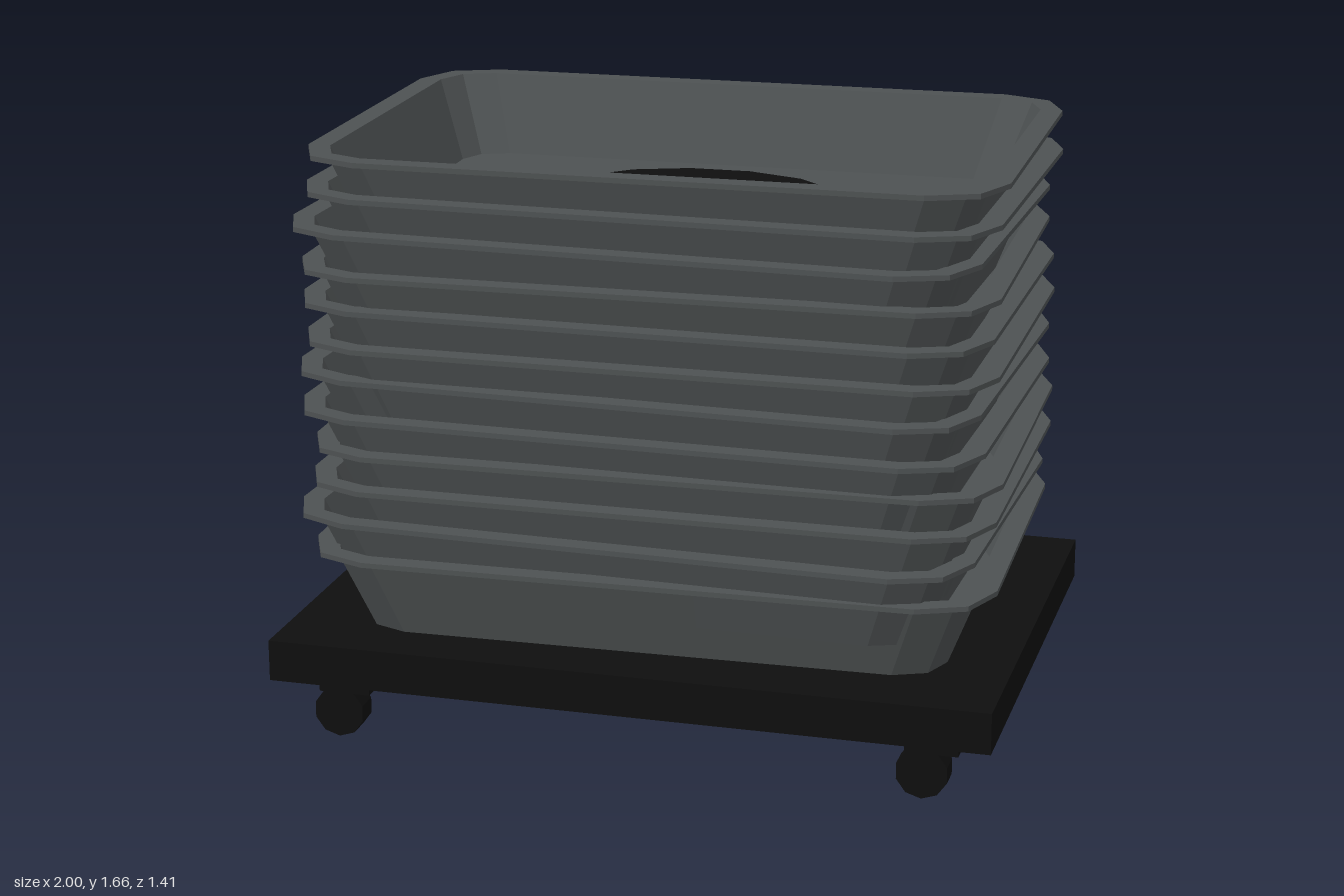
import * as THREE from 'three';

const trayGrey = new THREE.MeshStandardMaterial({ name: 'trayGrey', color: 0x4d5152, flatShading: true });
const dollyBlack = new THREE.MeshStandardMaterial({ name: 'dollyBlack', color: 0x0e0e0e, flatShading: true });
const buckleSilver = new THREE.MeshStandardMaterial({ name: 'buckleSilver', color: 0xc0c0c4, flatShading: true });

// Skin a series of closed rings (arrays of [x, y, z]) with flat faces
function loft(rings) {
  const pos = [];
  const n = rings[0].length;
  for (let r = 0; r < rings.length - 1; r++) {
    for (let i = 0; i < n; i++) {
      const j = (i + 1) % n;
      const a = rings[r][i], b = rings[r][j], c = rings[r + 1][i], d = rings[r + 1][j];
      pos.push(...a, ...c, ...d, ...a, ...d, ...b);
    }
  }
  const g = new THREE.BufferGeometry();
  g.setAttribute('position', new THREE.Float32BufferAttribute(pos, 3));
  g.computeVertexNormals();
  return g;
}

// Rectangle with two-facet corners: half width, half depth, corner radius
function roundedRing(w, d, r, y) {
  const ring = [];
  [[1, 1], [-1, 1], [-1, -1], [1, -1]].forEach(([sx, sz], q) => {
    for (let k = 0; k < 3; k++) {
      const a = q * Math.PI / 2 + k * Math.PI / 4;
      ring.push([sx * (w - r) + r * Math.cos(a), y, sz * (d - r) + r * Math.sin(a)]);
    }
  });
  return ring;
}

// Open tray with a flat outward rim; base at y = 0
function trayGeometry() {
  return loft([
    roundedRing(0, 0, 0, 0),
    roundedRing(0.81, 0.535, 0.13, 0),
    roundedRing(0.892, 0.608, 0.14, 0.222),
    roundedRing(0.947, 0.655, 0.19, 0.222),
    roundedRing(0.947, 0.655, 0.19, 0.236),
    roundedRing(0.885, 0.597, 0.13, 0.236),
    roundedRing(0.802, 0.515, 0.11, 0.015),
    roundedRing(0, 0, 0, 0.015),
  ]);
}

// Flat strap coiled in an inward oval spiral
function strapGeometry() {
  const end = Math.PI * 3.5 + 0.45, steps = 25, half = 0.046;
  const y0 = 1.442, y1 = 1.474;
  const start = -0.06;
  const at = t => new THREE.Vector2(
    (0.37 - 0.05 * t / Math.PI) * Math.cos(t),
    -(0.27 - 0.041 * t / Math.PI) * Math.sin(t));
  const rings = [];
  for (let i = 0; i <= steps; i++) {
    const t = start + (end - start) * i / steps;
    const p = at(t);
    const tan = at(t + 0.01).sub(at(t - 0.01)).normalize();
    const ox = -tan.y * half, oz = tan.x * half; // outward offset
    rings.push([
      [p.x + ox, y0, p.y + oz], [p.x + ox, y1, p.y + oz],
      [p.x - ox, y1, p.y - oz], [p.x - ox, y0, p.y - oz],
    ]);
  }
  // close both ends
  const cap = ring => {
    const c = [0, 1, 2].map(k => ring.reduce((s, p) => s + p[k] / 4, 0));
    return ring.map(() => c);
  };
  return loft([cap(rings[0]), ...rings, cap(rings[steps])]);
}

export function createModel() {
  const model = new THREE.Group();
  model.name = 'trayStackOnDolly';
  const add = (name, geo, mat, x, y, z, parent = model) => {
    const m = new THREE.Mesh(geo, mat);
    m.name = name;
    m.position.set(x, y, z);
    parent.add(m);
    return m;
  };

  // Dolly platform
  add('dollyPlatform', new THREE.BoxGeometry(2, 0.115, 1.41), dollyBlack, 0, 0.2625, 0);

  // Four casters
  const mount = new THREE.BoxGeometry(0.145, 0.06, 0.145);
  const wheel = new THREE.CylinderGeometry(0.0725, 0.0725, 0.07, 10).rotateX(Math.PI / 2);
  for (const sx of [-1, 1]) {
    for (const sz of [-1, 1]) {
      const caster = new THREE.Group();
      caster.name = 'caster';
      caster.position.set(sx * 0.824, 0, sz * 0.53);
      add('casterMount', mount, dollyBlack, 0, 0.175, 0, caster);
      add('casterWheel', wheel, dollyBlack, -0.032, 0.0725, 0, caster);
      model.add(caster);
    }
  }

  // Nested trays, each slightly shifted and turned: x, z, turn
  const placement = [
    [0, -0.01, 0.026], [-0.024, 0.013, -0.028], [0.005, 0, 0.008], [0.01, -0.007, 0.022],
    [-0.01, 0.02, -0.016], [-0.02, 0, -0.028], [0.005, 0.015, 0.008], [-0.005, 0.007, -0.004],
    [-0.01, 0.009, 0.028], [-0.03, 0, -0.024], [0.008, -0.007, -0.008], [0.008, -0.022, 0.017],
  ];
  const tray = trayGeometry();
  placement.forEach(([x, z, turn], i) => {
    add('tray', tray, trayGrey, x, 0.32 + i * 0.1, z).rotation.y = turn;
  });

  // Coiled strap and buckle in the top tray
  add('coiledStrap', strapGeometry(), dollyBlack, 0, 0, -0.02);
  add('strapBuckle', new THREE.BoxGeometry(0.1, 0.04, 0.115), buckleSilver, 0.36, 1.463, -0.005);

  return model;
}
